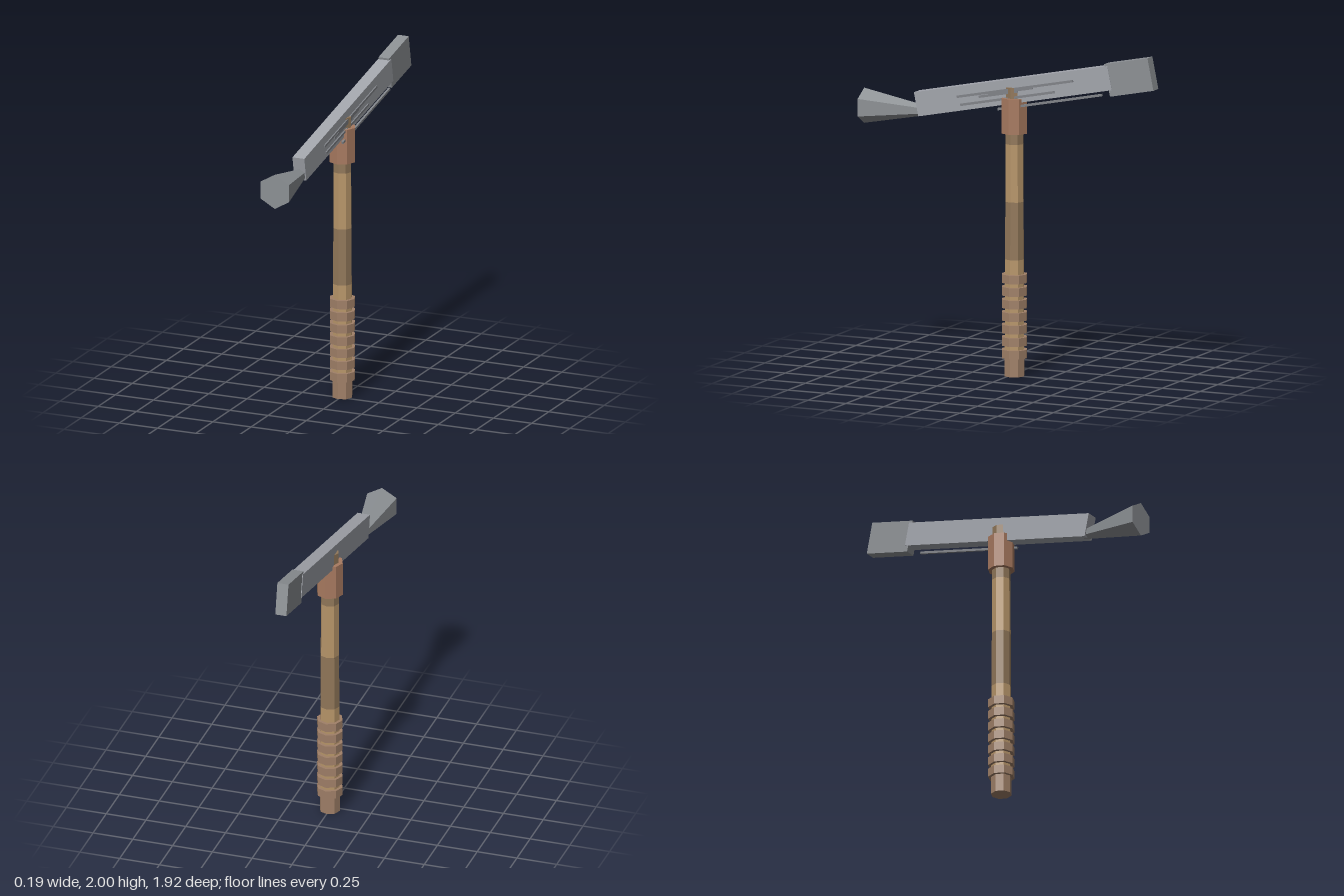
import * as THREE from 'three';

const TILT = 0.2;      // slope of the head, rising toward the back
const SHAFT_Z = -0.027; // the handle stands slightly behind centre

const mat = (color) => new THREE.MeshStandardMaterial({ color, flatShading: true });
const wood = mat(0xb8966a);
const darkWood = mat(0x92785a);
const leather = mat(0xa08068);
const copper = mat(0xa87a60);
const steel = mat(0xa2a5ac);
const darkSteel = mat(0x8c9094);
const groove = mat(0x808388);

export function createModel() {
  const model = new THREE.Group();

  const add = (name, geometry, material, x, y, z) => {
    const mesh = new THREE.Mesh(geometry, material);
    mesh.name = name;
    mesh.position.set(x, y, z);
    model.add(mesh);
    return mesh;
  };

  // Eight-sided section of the handle between two heights
  const section = (name, y0, y1, r0, r1, material) =>
    add(name, new THREE.CylinderGeometry(r1, r0, y1 - y0, 8), material, 0, (y0 + y1) / 2, SHAFT_Z);

  // Box lying along the sloping head
  const slopedBox = (name, w, h, length, material, x, y, z) => {
    const mesh = add(name, new THREE.BoxGeometry(w, h, length), material, x, y, z);
    mesh.rotation.x = TILT;
    return mesh;
  };

  // Handle, from the butt up to the end that pokes through the head
  section('handleButt', 0, 0.11, 0.063, 0.063, leather);
  section('gripCore', 0.11, 0.71, 0.062, 0.06, wood);
  section('handleMiddle', 0.71, 1.06, 0.06, 0.058, darkWood);
  section('handleUpper', 1.06, 1.41, 0.058, 0.056, wood);
  section('handleTop', 1.41, 1.755, 0.056, 0.055, darkWood);

  // Grip rings
  for (let i = 0; i < 7; i++) {
    const y = 0.111 + i * 0.0762;
    section('gripRing', y, y + 0.052, 0.08, 0.08, leather);
  }

  // Socket beneath the head
  section('socket', 1.475, 1.69, 0.081, 0.081, copper);

  // Head: long beam and hammer block
  slopedBox('headBeam', 0.078, 0.147, 1.3, steel, 0, 1.734, -0.034);
  slopedBox('hammerBlock', 0.07, 0.198, 0.292, darkSteel, 0, 1.876, -0.796);

  // Flared six-sided striking face, level with the ground
  const flare = add('flaredFace', new THREE.CylinderGeometry(0.107, 0.03, 0.403, 6), darkSteel, 0, 1.565, 0.7615);
  flare.geometry.rotateX(Math.PI / 2).rotateZ(0);
  // Turn the hexagon so that corners point up and down
  const pos = flare.geometry.attributes.position;
  pos.needsUpdate = true;

  // Thin strips on the side of the head: centre y, centre z, length
  const strips = [
    [1.75, -0.05, 0.78],
    [1.688, 0.0, 0.63],
    [1.71, 0.06, 0.26],
    [1.735, -0.02, 0.3],
    [1.688, -0.28, 0.70],
  ];
  for (const [y, z, length] of strips) {
    slopedBox('sideStrip', 0.014, 0.014, length, groove, 0.04, y, z);
  }

  return model;
}
